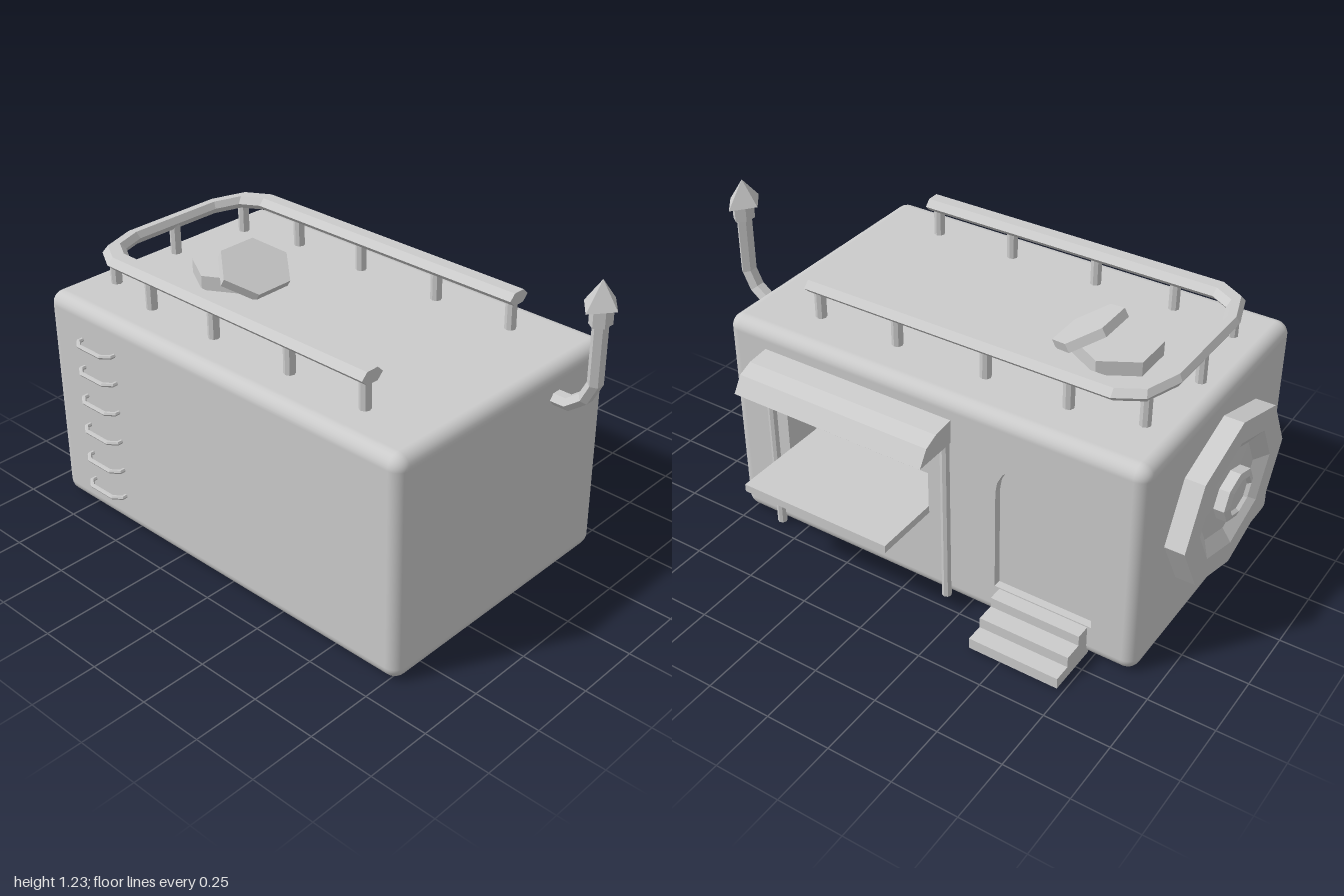
import * as THREE from 'three';
import { RoundedBoxGeometry } from 'three/addons/geometries/RoundedBoxGeometry.js';

const flat = new THREE.MeshStandardMaterial({ color: 0xcccccc, flatShading: true });
const smooth = new THREE.MeshStandardMaterial({ color: 0xcccccc });

function add(parent, name, geometry, x = 0, y = 0, z = 0, material = flat) {
  const mesh = new THREE.Mesh(geometry, material);
  mesh.name = name;
  mesh.position.set(x, y, z);
  parent.add(mesh);
  return mesh;
}

// box given by its lower and upper limits
function addBox(parent, name, x0, x1, y0, y1, z0, z1) {
  return add(parent, name, new THREE.BoxGeometry(x1 - x0, y1 - y0, z1 - z0),
    (x0 + x1) / 2, (y0 + y1) / 2, (z0 + z1) / 2);
}

// polygonal bar along a planar path; up is the normal of the path's plane
function sweep(coords, up, radius, sides, phase = 0) {
  const path = coords.map(c => new THREE.Vector3(...c));
  const n = path.length, pos = [], index = [];
  path.forEach((p, i) => {
    const before = path[Math.max(i - 1, 0)], after = path[Math.min(i + 1, n - 1)];
    const a = p.clone().sub(before).normalize(), b = after.clone().sub(p).normalize();
    const t = a.clone().add(b).normalize();
    const mitre = radius / t.dot(i < n - 1 ? b : a);
    const side = up.clone().cross(t);
    for (let j = 0; j < sides; j++) {
      const ang = phase + j / sides * Math.PI * 2;
      const v = p.clone().addScaledVector(side, Math.cos(ang) * mitre).addScaledVector(up, Math.sin(ang) * radius);
      pos.push(v.x, v.y, v.z);
    }
  });
  for (let j = 0; j < sides; j++) {
    const k = (j + 1) % sides;
    for (let i = 0; i < n - 1; i++) {
      const r = i * sides, s = r + sides;
      index.push(r + j, r + k, s + k, r + j, s + k, s + j);
    }
    if (j > 0 && j < sides - 1) {
      const e = (n - 1) * sides;
      index.push(0, k, j, e, e + j, e + k);
    }
  }
  const g = new THREE.BufferGeometry();
  g.setAttribute('position', new THREE.Float32BufferAttribute(pos, 3));
  g.setIndex(index);
  g.computeVertexNormals();
  return g;
}

// shape drawn in (-z, y), extruded from x0 to x1
function extrudeX(shape, x0, x1) {
  return new THREE.ExtrudeGeometry(shape, { depth: x1 - x0, bevelEnabled: false, curveSegments: 6 })
    .rotateY(Math.PI / 2).translate(x0, 0, 0);
}

function outline(target, z0, z1, y0, y1) {
  target.moveTo(-z1, y0);
  target.lineTo(-z0, y0);
  target.lineTo(-z0, y1);
  target.lineTo(-z1, y1);
  target.closePath();
  return target;
}

function archOutline(target) {
  const c = 0.548, w = 0.193;
  target.moveTo(c - w, 0.14);
  target.lineTo(c + w, 0.14);
  target.lineTo(c + w, 0.55);
  target.absellipse(c, 0.55, w, 0.165, 0, Math.PI, false, 0);
  target.lineTo(c - w, 0.14);
  return target;
}

const WALL = 0.435;

function buildBody(root) {
  const r = 0.05, w = 1.085, h = 0.855, d = 1.7;
  const body = new THREE.Group();
  body.name = 'body';
  root.add(body);

  // rounded shell, without the flat part of its left wall
  const shell = new RoundedBoxGeometry(w, h, d, 4, r);
  const p = shell.attributes.position, nrm = shell.attributes.normal;
  const pos = [], normals = [];
  for (let i = 0; i < p.count; i += 3) {
    if ([0, 1, 2].every(k => p.getX(i + k) > w / 2 - 1e-5)) continue;
    for (let k = i; k < i + 3; k++) {
      pos.push(p.getX(k), p.getY(k), p.getZ(k));
      normals.push(nrm.getX(k), nrm.getY(k), nrm.getZ(k));
    }
  }
  const open = new THREE.BufferGeometry();
  open.setAttribute('position', new THREE.Float32BufferAttribute(pos, 3));
  open.setAttribute('normal', new THREE.Float32BufferAttribute(normals, 3));
  add(body, 'shell', open, WALL - w / 2, 0.005 + h / 2, -0.06, smooth);

  // left wall with window and door openings
  const wall = outline(new THREE.Shape(), -0.91 + r, 0.79 - r, 0.005 + r, 0.86 - r);
  wall.holes.push(outline(new THREE.Path(), -0.08, 0.54, 0.35, 0.69), archOutline(new THREE.Path()));
  add(body, 'leftWall', extrudeX(wall, WALL - 0.16, WALL));
  addBox(body, 'windowBack', WALL - 0.18, WALL - 0.15, 0.33, 0.71, -0.1, 0.56);
  add(body, 'door', extrudeX(archOutline(new THREE.Shape()), WALL - 0.1, WALL - 0.03));
}

function buildServingSide(root) {
  addBox(root, 'counter', WALL - 0.15, 0.695, 0.345, 0.375, -0.082, 0.532);

  // curved awning on two posts
  const profile = new THREE.Shape([[0.42, 0.685], [0.613, 0.685], [0.575, 0.745], [0.52, 0.768], [0.42, 0.778]]
    .map(c => new THREE.Vector2(...c)));
  add(root, 'awning', new THREE.ExtrudeGeometry(profile, { depth: 0.793, bevelEnabled: false }), 0, 0, -0.177);
  for (const z of [0.605, -0.155])
    add(root, 'awningPost', new THREE.CylinderGeometry(0.018, 0.018, 0.715, 8), 0.439, 0.365, z);

  // door steps
  [[0.49, 0.135], [0.56, 0.095], [0.627, 0.053]].forEach(([x, y], i) =>
    addBox(root, 'step', i ? [0.49, 0.56][i - 1] : 0.42, x, 0.01, y, -0.727, -0.375));
}

function buildRoof(root) {
  const mid = -0.115, stretch = 1.75;

  // U-shaped rail, widened sideways
  const half = [[0.37, 0.53], [0.37, -0.69], [0.32, -0.775], [0.2, -0.815]];
  const path = [...half.map(([x, z]) => [-x, z]), ...half.slice().reverse()]
    .map(([x, z]) => [x / stretch, 0, z]);
  const rail = add(root, 'roofRail', sweep(path, new THREE.Vector3(0, 1, 0), 0.0275, 6), mid, 0.987, 0);
  rail.scale.x = stretch;

  const post = new THREE.CylinderGeometry(0.021, 0.021, 0.13, 8);
  const spots = [[0, -0.812]];
  for (const s of [-1, 1]) {
    for (const z of [0.5, 0.166, -0.198, -0.52]) spots.push([s * 0.37, z]);
    spots.push([s * 0.32, -0.775]);
  }
  for (const [x, z] of spots) add(root, 'railPost', post, mid + x, 0.915, z);

  // hexagonal hatch with a tilted lid
  const hex = h => new THREE.CylinderGeometry(0.157, 0.157, h, 6).rotateY(Math.PI / 6 * 3);
  add(root, 'hatchBase', hex(0.075), -0.11, 0.878, -0.5);
  const lid = add(root, 'hatchLid', hex(0.035), -0.11, 0.925, -0.388);
  lid.scale.z = 0.82;
  lid.rotation.x = Math.PI / 6;
}

function buildChimney(root) {
  const chimney = new THREE.Group();
  chimney.name = 'chimney';
  chimney.position.x = 0.137;
  root.add(chimney);
  const path = [[0, 0.75, 0.76], [0, 0.75, 0.845], [0, 0.795, 0.905], [0, 0.86, 0.937], [0, 1.1, 0.937]];
  add(chimney, 'pipe', sweep(path, new THREE.Vector3(1, 0, 0), 0.025, 6, Math.PI / 6)).scale.x = 1.38;
  const collar = add(chimney, 'collar', new THREE.CylinderGeometry(0.047, 0.047, 0.062, 6).rotateY(Math.PI / 2), 0, 1.107, 0.937);
  collar.scale.z = 0.78;
  const cap = add(chimney, 'cap', new THREE.ConeGeometry(0.083, 0.094, 4), 0, 1.184, 0.932);
  cap.scale.z = 0.78;
}

function buildSpareWheel(root) {
  // octagonal dished wheel with a hub, flattened in height
  const profile = [[0, 0.085], [0.075, 0.085], [0.085, 0.098], [0.115, 0.09], [0.115, 0.05], [0.21, 0.045],
    [0.275, 0.08], [0.385, 0.08], [0.385, -0.02]].reverse().map(c => new THREE.Vector2(...c));
  const wheel = add(root, 'spareWheel', new THREE.LatheGeometry(profile, 8).rotateX(-Math.PI / 2), -0.11, 0.46, -0.905);
  wheel.scale.y = 0.78;
}

function buildLadder(root) {
  const rung = sweep([[-0.64, 0, -0.545], [-0.668, 0, -0.545], [-0.691, 0, -0.575], [-0.691, 0, -0.69],
    [-0.668, 0, -0.722], [-0.64, 0, -0.722]], new THREE.Vector3(0, 1, 0), 0.008, 6);
  for (const y of [0.133, 0.247, 0.37, 0.493, 0.613, 0.725]) add(root, 'ladderRung', rung, 0, y, 0);
}

export function createModel() {
  const root = new THREE.Group();
  root.name = 'foodCart';
  buildBody(root);
  buildServingSide(root);
  buildRoof(root);
  buildChimney(root);
  buildSpareWheel(root);
  buildLadder(root);
  return root;
}
